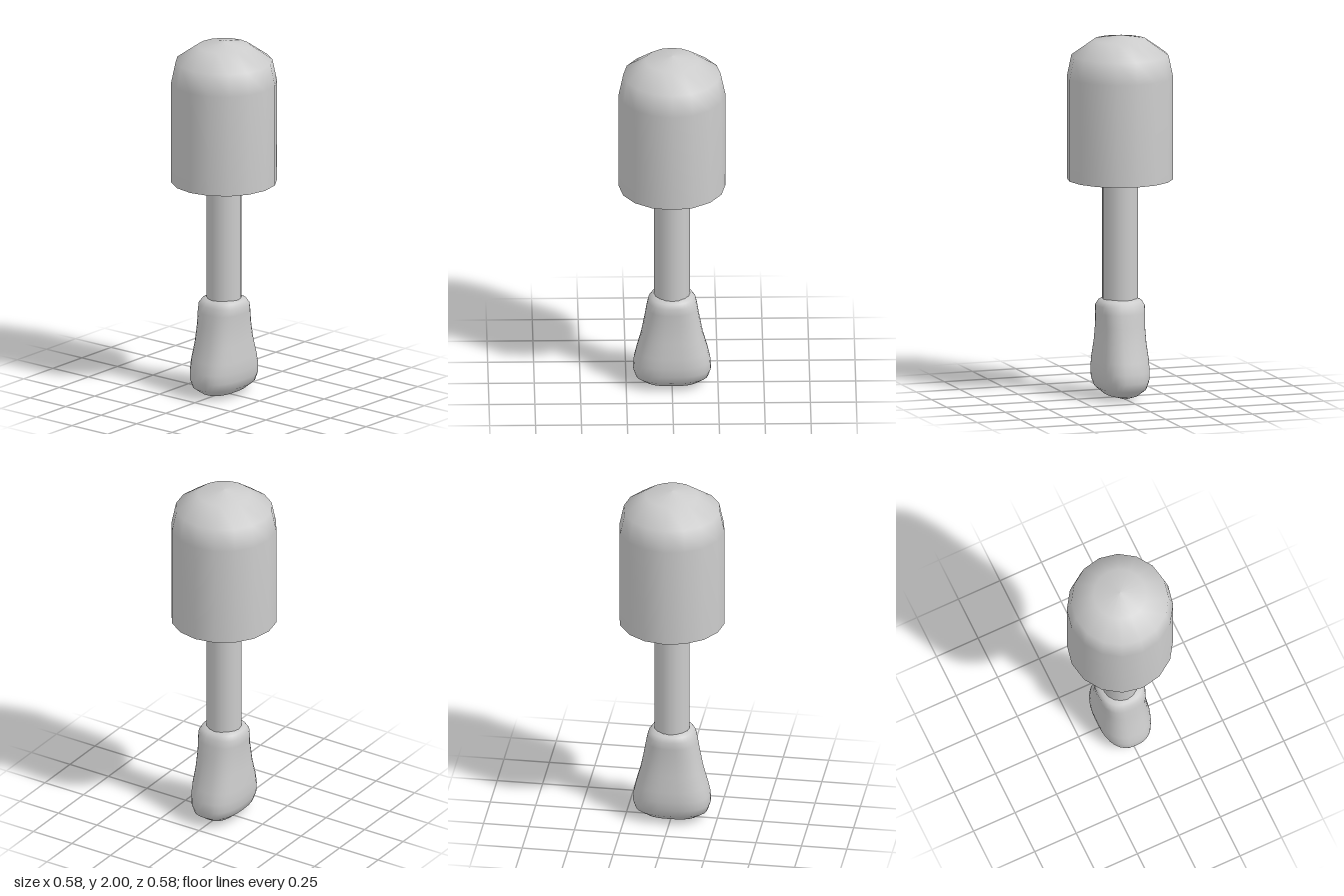
import * as THREE from 'three';

const material = new THREE.MeshStandardMaterial({ color: 0xcccccc });

function lathe(name, points, sides = 16) {
  const profile = points.map(([r, y]) => new THREE.Vector2(r, y));
  const mesh = new THREE.Mesh(new THREE.LatheGeometry(profile, sides), material);
  mesh.name = name;
  return mesh;
}

// Stack of rounded-rectangle rings [y, halfWidth, halfDepth], closed at both ends
function loft(name, rings, sides = 32, power = 2.5) {
  const positions = [], index = [];
  for (const [y, w, d] of rings) {
    for (let i = 0; i < sides; i++) {
      const a = (i / sides) * Math.PI * 2, c = Math.cos(a), s = Math.sin(a);
      const e = 2 / power;
      positions.push(w * Math.sign(c) * Math.abs(c) ** e, y, d * Math.sign(s) * Math.abs(s) ** e);
    }
  }
  for (let r = 0; r < rings.length - 1; r++) {
    for (let i = 0; i < sides; i++) {
      const j = (i + 1) % sides;
      const a = r * sides + i, b = r * sides + j;
      index.push(a, a + sides, b, b, a + sides, b + sides);
    }
  }
  const last = rings.length - 1;
  const bottom = positions.length / 3;
  positions.push(0, rings[0][0], 0, 0, rings[last][0], 0);
  for (let i = 0; i < sides; i++) {
    const j = (i + 1) % sides;
    index.push(bottom, i, j, bottom + 1, last * sides + j, last * sides + i);
  }
  const geometry = new THREE.BufferGeometry();
  geometry.setAttribute('position', new THREE.Float32BufferAttribute(positions, 3));
  geometry.setIndex(index);
  geometry.computeVertexNormals();
  const mesh = new THREE.Mesh(geometry, material);
  mesh.name = name;
  return mesh;
}

export function createModel() {
  const model = new THREE.Group();
  model.name = 'applicator';

  // Hollow domed cap: outer shell, rim and inner wall kept apart for crisp edges
  const cap = new THREE.Group();
  cap.name = 'cap';
  cap.add(
    lathe('capShell', [[0.29, 1.205], [0.29, 1.77], [0.265, 1.89], [0.145, 1.975], [0, 2]]),
    lathe('capRim', [[0.25, 1.205], [0.29, 1.205]]),
    lathe('capInside', [[0, 1.95], [0.125, 1.93], [0.228, 1.86], [0.25, 1.76], [0.25, 1.205]])
  );
  model.add(cap);

  // Stem running from the brush up into the cap
  const stem = new THREE.Mesh(new THREE.CylinderGeometry(0.097, 0.097, 1.45, 16), material);
  stem.name = 'stem';
  stem.position.y = 1.205;
  model.add(stem);

  // Flattened brush head, flaring towards a soft ridge at the tip
  model.add(loft('brushHead', [
    [0, 0.09, 0.015],
    [0.018, 0.145, 0.082],
    [0.055, 0.198, 0.125],
    [0.1, 0.213, 0.141],
    [0.15, 0.209, 0.145],
    [0.21, 0.195, 0.144],
    [0.3, 0.17, 0.133],
    [0.4, 0.151, 0.127],
    [0.47, 0.139, 0.13],
    [0.51, 0.13, 0.13],
    [0.535, 0.113, 0.115],
    [0.55, 0.085, 0.085],
  ]));

  return model;
}
